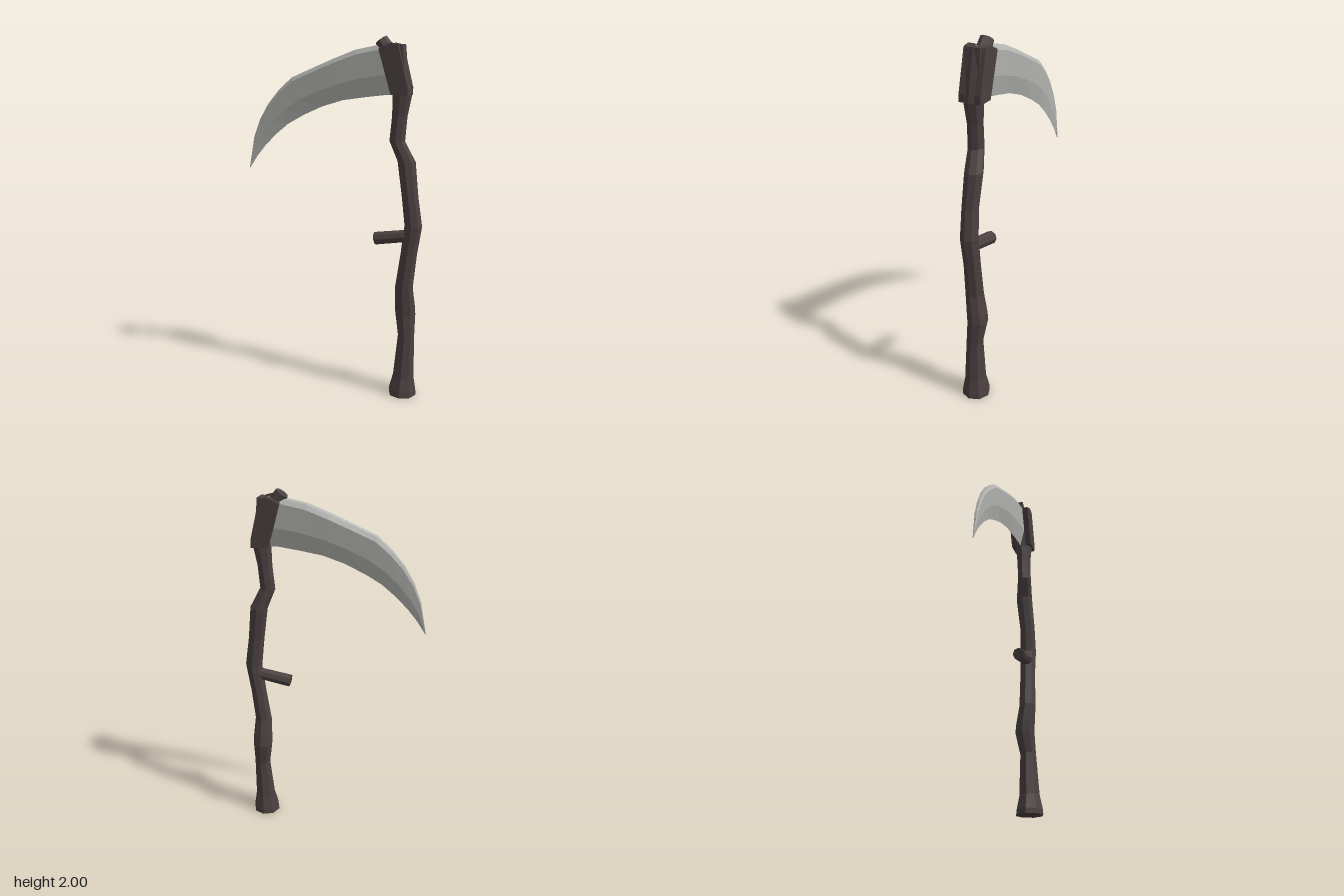
import * as THREE from 'three';

const wood = new THREE.MeshStandardMaterial({ color: 0x4b4040 });
wood.name = 'dark wood';
const steel = new THREE.MeshStandardMaterial({ color: 0xb5b6b2 });
steel.name = 'steel';
wood.flatShading = steel.flatShading = true;

// Skin a list of rings (arrays of [x, y, z], anticlockwise seen from the far end) and cap both ends.
function loft(rings) {
  const n = rings[0].length;
  const index = [];
  for (let i = 0; i < rings.length - 1; i++) {
    for (let j = 0; j < n; j++) {
      const k = (j + 1) % n;
      const a = i * n + j, b = i * n + k, c = b + n, d = a + n;
      index.push(a, b, c, a, c, d);
    }
  }
  const last = (rings.length - 1) * n;
  for (let j = 1; j < n - 1; j++) {
    index.push(0, j + 1, j, last, last + j, last + j + 1);
  }
  const geometry = new THREE.BufferGeometry();
  geometry.setAttribute('position', new THREE.Float32BufferAttribute(rings.flat(2), 3));
  geometry.setIndex(index);
  const faceted = geometry.toNonIndexed();
  faceted.computeVertexNormals();
  return faceted;
}

function add(group, name, geometry, material) {
  const mesh = new THREE.Mesh(geometry, material);
  mesh.name = name;
  group.add(mesh);
  return mesh;
}

// Round peg between two points
function peg(group, name, from, to, rFrom, rTo) {
  const a = new THREE.Vector3(...from), b = new THREE.Vector3(...to);
  const mesh = add(group, name, new THREE.CylinderGeometry(rTo, rFrom, a.distanceTo(b), 8), wood);
  mesh.position.copy(a).add(b).multiplyScalar(0.5);
  mesh.quaternion.setFromUnitVectors(new THREE.Vector3(0, 1, 0), b.sub(a).normalize());
  return mesh;
}

export function createModel() {
  const group = new THREE.Group();
  group.name = 'scythe';

  // Crooked shaft: height, centre x, centre z, radius
  const shaft = [
    [0.00, 0.420, 0.003, 0.079], [0.03, 0.420, 0.003, 0.077], [0.11, 0.424, 0.002, 0.060],
    [0.35, 0.433, -0.005, 0.047], [0.48, 0.422, -0.020, 0.058], [0.53, 0.420, -0.015, 0.057],
    [0.64, 0.416, 0.000, 0.050], [0.83, 0.438, -0.003, 0.046], [0.99, 0.459, -0.003, 0.049],
    [1.15, 0.438, 0.000, 0.046], [1.34, 0.412, -0.010, 0.050], [1.45, 0.362, 0.006, 0.043],
    [1.58, 0.372, 0.002, 0.042], [1.69, 0.383, 0.000, 0.052], [1.80, 0.368, -0.003, 0.052],
    [1.95, 0.340, -0.003, 0.050],
  ];
  add(group, 'shaft', loft(shaft.map(([y, x, z, r]) =>
    Array.from({ length: 8 }, (_, j) => {
      const t = (j / 8) * Math.PI * 2;
      return [x + r * Math.cos(t), y, z - r * Math.sin(t)];
    }))), wood);

  // Side grip and the stub at the top of the shaft
  peg(group, 'sideGrip', [0.44, 0.935, 0], [0.245, 0.903, 0], 0.034, 0.036);
  peg(group, 'topStub', [0.36, 1.84, -0.005], [0.262, 1.975, -0.005], 0.046, 0.036);

  // Clamp plates on both sides of the blade root
  const outline = new THREE.Shape([
    [0.335, 1.695], [0.425, 1.69], [0.425, 1.73], [0.37, 1.95], [0.33, 1.96], [0.265, 1.93],
  ].map(([x, y]) => new THREE.Vector2(x, y)));
  for (const [name, z] of [['frontPlate', 0.026], ['backPlate', -0.066]]) {
    const plate = add(group, name,
      new THREE.ExtrudeGeometry(outline, { depth: 0.034, bevelEnabled: false }), wood);
    plate.position.z = z;
  }
  // Wedge behind the blade root
  const wedge = add(group, 'wedge', new THREE.BoxGeometry(0.06, 0.22, 0.08), wood);
  wedge.position.set(0.368, 1.84, -0.003);
  wedge.rotation.z = 0.1;

  // Curved blade: spine x, y, edge x, y, half thickness
  const blade = [
    [0.345, 1.950, 0.370, 1.690, 0.034], [0.260, 1.950, 0.290, 1.690, 0.035],
    [0.130, 1.925, 0.170, 1.675, 0.035], [0.010, 1.880, 0.050, 1.657, 0.035],
    [-0.110, 1.830, -0.070, 1.620, 0.032], [-0.240, 1.775, -0.180, 1.570, 0.028],
    [-0.320, 1.705, -0.270, 1.520, 0.023], [-0.385, 1.630, -0.350, 1.455, 0.018],
    [-0.440, 1.540, -0.415, 1.390, 0.013], [-0.480, 1.440, -0.465, 1.330, 0.009],
    [-0.515, 1.260, -0.513, 1.258, 0.003],
  ];
  add(group, 'blade', loft(blade.map(([sx, sy, ex, ey, t]) => {
    const at = (f, z) => [sx + (ex - sx) * f, sy + (ey - sy) * f, z - 0.007];
    return [at(0.6, t * 0.75), at(0.1, t), at(0, t * 0.6), at(0, -t * 0.6),
      at(0.1, -t), at(0.6, -t * 0.75), at(1, 0)];
  })), steel);

  return group;
}
